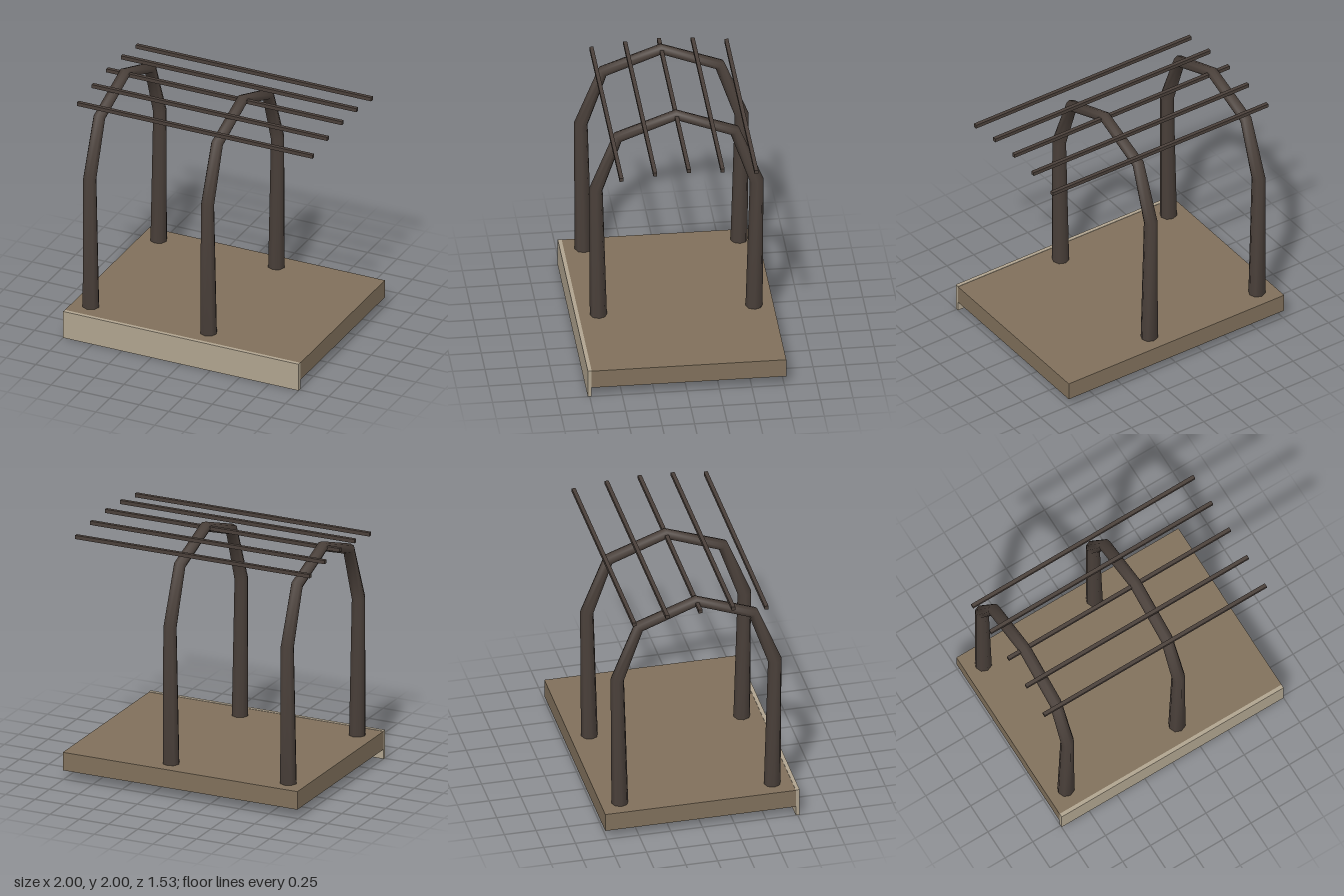
import * as THREE from 'three';

const CENTRE_Z = -0.015; // the frame is centred on the slab, behind the fascia

// Tapered arch swept through mitred rings, from the front foot over to the back foot
function archGeometry(sides = 8) {
  // offset from centre, height, miter angle (degrees), half depth, half width
  const half = [
    [0.60, 0.22, 0, 0.066, 0.067],
    [0.62, 1.336, 11, 0.054, 0.054],
    [0.45, 1.788, 46, 0.045, 0.049],
  ];
  const rings = [
    ...half,
    [0, 1.956, 90, 0.04, 0.048],
    ...half.map(([z, y, angle, a, b]) => [-z, y, 180 - angle, a, b]).reverse(),
  ];
  const pos = [], index = [];
  for (const [z, y, angle, a, b] of rings) {
    const m = THREE.MathUtils.degToRad(angle);
    for (let j = 0; j < sides; j++) {
      const t = (j / sides) * Math.PI * 2;
      const out = Math.cos(t) * a;
      pos.push(Math.sin(t) * b, y + out * Math.sin(m), z + out * Math.cos(m));
    }
  }
  const last = (rings.length - 1) * sides;
  for (let i = 0; i < last; i += sides) {
    for (let j = 0; j < sides; j++) {
      const k = (j + 1) % sides;
      index.push(i + j, i + k, i + sides + k, i + j, i + sides + k, i + sides + j);
    }
  }
  // end caps
  for (let j = 1; j < sides - 1; j++) {
    index.push(0, j + 1, j, last, last + j, last + j + 1);
  }
  const geo = new THREE.BufferGeometry();
  geo.setAttribute('position', new THREE.Float32BufferAttribute(pos, 3));
  geo.setIndex(index);
  geo.computeVertexNormals();
  return geo;
}

export function createModel() {
  const group = new THREE.Group();
  const material = (name, color) => {
    const m = new THREE.MeshStandardMaterial({ color });
    m.name = name;
    return m;
  };
  const floor = material('floorBrown', 0x80705b);
  const trim = material('paleTrim', 0xb0a48f);
  const wood = material('darkWood', 0x4a403a);

  const add = (name, geo, mat, x, y, z) => {
    const mesh = new THREE.Mesh(geo, mat);
    mesh.name = name;
    mesh.position.set(x, y, z);
    group.add(mesh);
  };

  // Platform and the deeper board along its front edge
  add('platform', new THREE.BoxGeometry(2, 0.147, 1.5), floor, 0, 0.1515, CENTRE_Z);
  add('frontFascia', new THREE.BoxGeometry(2, 0.228, 0.03), trim, 0, 0.114, 0.75);

  // Two arched frames
  const arch = archGeometry();
  [-0.85, 0.15].forEach((x) => add('arch', arch, wood, x, 0, CENTRE_Z));

  // Five roof battens, highest in the middle
  const batten = new THREE.BoxGeometry(2, 0.03, 0.03);
  [1.908, 1.938, 1.95, 1.938, 1.908].forEach((y, i) =>
    add('roofBatten', batten, wood, 0, y, CENTRE_Z + (i - 2) * 0.26));

  return group;
}
